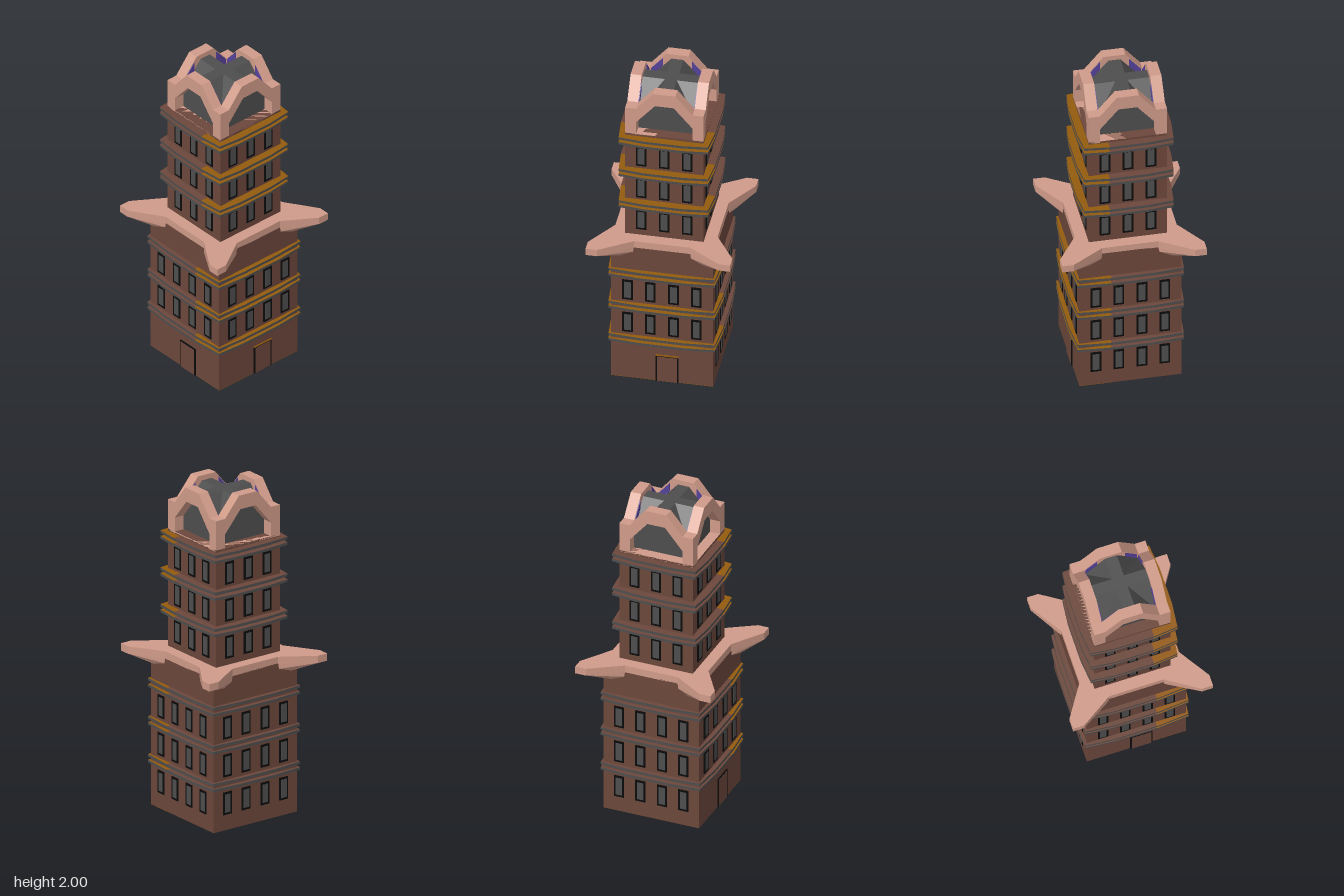
import * as THREE from 'three';
import { ConvexGeometry } from 'three/addons/geometries/ConvexGeometry.js';

function mat(name, color) {
  const m = new THREE.MeshStandardMaterial({ color });
  m.name = name;
  return m;
}

function poly(points) {
  return new THREE.Shape(points.map(([x, y]) => new THREE.Vector2(x, y)));
}

// Flat outline (x, z) raised between two heights
function slab(points, y0, y1) {
  const g = new THREE.ExtrudeGeometry(poly(points.map(([x, z]) => [x, -z])), { depth: y1 - y0, bevelEnabled: false });
  return g.rotateX(-Math.PI / 2).translate(0, y0, 0);
}

export function createModel() {
  const model = new THREE.Group();
  model.name = 'tower';
  const brown = mat('brown brick', 0x6c473b);
  const pink = mat('pink stone', 0xd09b89);
  const grey = mat('grey slate', 0x4e4e4e);
  const black = mat('black frame', 0x0b0b0b);
  const amber = mat('amber', 0x935a0c);
  const purple = mat('purple', 0x55419a);

  function add(parent, name, geometry, material) {
    const mesh = new THREE.Mesh(geometry, material);
    mesh.name = name;
    parent.add(mesh);
    return mesh;
  }
  function box(parent, name, material, w, h, d, x, y, z) {
    return add(parent, name, new THREE.BoxGeometry(w, h, d).translate(x, y, z), material);
  }

  // Two stacked shafts and the two-tone base plate
  const split = 0.115;
  box(model, 'lowerShaft', brown, 0.6, 0.938, 0.6, 0, 0.471, 0);
  box(model, 'upperShaft', brown, 0.46, 0.74, 0.46, 0, 1.33, 0);
  box(model, 'basePlate', brown, 0.3 + split, 0.002, 0.6, (split - 0.3) / 2, 0.001, 0);
  box(model, 'basePlateAmber', amber, 0.3 - split, 0.002, 0.6, (split + 0.3) / 2, 0.001, 0);

  // Paired ledges with slightly bowed sides, in two colours
  function ledge(half, y) {
    const c = half - 0.015, m = half * 0.42, s = split;
    const left = [[s, half], [-m, half], [-c, c], [-half, m], [-half, -m], [-c, -c], [-m, -half], [s, -half]];
    const right = [[s, -half], [m, -half], [c, -c], [half, -m], [half, m], [c, c], [m, half], [s, half]];
    // reversed so that the outlines wind consistently
    add(model, 'ledge', slab(left, y - 0.008, y + 0.008), [brown, grey]);
    add(model, 'ledgeAmber', slab(right, y - 0.008, y + 0.008), [amber, grey]);
  }
  for (const y of [0.265, 0.3, 0.497, 0.533, 0.73, 0.768]) ledge(0.327, y);
  for (const y of [1.192, 1.225, 1.415, 1.45, 1.643, 1.678]) ledge(0.277, y);
  box(model, 'amberStrip', amber, 0.46, 0.022, 0.004, 0, 1.432, 0.231);

  // Windows and doors on each face
  function windowUnit(face, x, y, z) {
    box(face, 'windowFrame', black, 0.062, 0.138, 0.006, x, y, z + 0.002);
    box(face, 'windowPane', grey, 0.04, 0.112, 0.008, x, y, z + 0.0025);
  }
  for (let k = 0; k < 4; k++) {
    const face = new THREE.Group();
    face.name = 'face';
    face.rotation.y = k * Math.PI / 2;
    model.add(face);
    const rows = k < 2 ? [0.397, 0.629] : [0.165, 0.397, 0.629];
    for (const y of rows) for (const x of [-0.202, -0.068, 0.068, 0.202]) windowUnit(face, x, y, 0.3);
    for (const y of [1.09, 1.318, 1.545]) for (const x of [-0.135, 0, 0.135]) windowUnit(face, x, y, 0.23);
    if (k < 2) {
      box(face, 'doorFrame', black, 0.134, 0.184, 0.008, 0.03, 0.092, 0.302);
      box(face, 'door', brown, 0.116, 0.174, 0.008, 0.03, 0.089, 0.3035);
      if (k === 1) box(face, 'doorLintel', amber, 0.134, 0.006, 0.009, 0.03, 0.184, 0.303);
    }

    // Crown arch
    const arch = poly([[-0.23, 1.69], [0.23, 1.69], [0.23, 1.88], [0.165, 1.88], [0.065, 2], [-0.065, 2], [-0.165, 1.88], [-0.23, 1.88]]);
    arch.holes.push(new THREE.Path([[-0.165, 1.7], [-0.165, 1.785], [-0.055, 1.915], [0.055, 1.915], [0.165, 1.785], [0.165, 1.7]]
      .map(([x, y]) => new THREE.Vector2(x, y))));
    add(face, 'crownArch', new THREE.ExtrudeGeometry(arch, { depth: 0.065, bevelEnabled: false }).translate(0, 0, 0.165), pink);

    // Coloured strips on the inner side of the arch
    for (const s of [-1, 1]) {
      const strip = poly([[0.155, 1.832], [0.155, 1.885], [0.085, 1.968], [0.085, 1.915]].map(([x, y]) => [s * x, y]));
      add(face, 'archInnerStrip', new THREE.ExtrudeGeometry(strip, { depth: 0.004, bevelEnabled: false }).translate(0, 0, 0.161), purple);
    }
  }

  // Crossing roof vaults
  for (let k = 0; k < 2; k++) {
    const vault = poly([[-0.165, 1.695], [0.165, 1.695], [0.165, 1.82], [0.035, 1.97], [-0.035, 1.97], [-0.165, 1.82]]);
    const g = new THREE.ExtrudeGeometry(vault, { depth: 0.332, bevelEnabled: false }).translate(0, 0, -0.166);
    add(model, 'roofVault', g.rotateY(k * Math.PI / 2), grey);
  }

  // Deck with four pointed corners
  const outline = [];
  for (let k = 0; k < 4; k++) {
    const c = Math.round(Math.cos(k * Math.PI / 2)), s = Math.round(Math.sin(k * Math.PI / 2));
    for (const [x, z] of [[0.3, 0.165], [0.424, 0.357], [0.424, 0.424], [0.357, 0.424], [0.165, 0.3]]) {
      outline.push([x * c - z * s, x * s + z * c]);
    }
  }
  add(model, 'deck', slab(outline, 0.935, 0.98), pink);

  // Tapered brackets under the deck corners
  const bracket = [
    [0.3, 0.936, 0.165], [0.424, 0.936, 0.357], [0.424, 0.936, 0.424], [0.357, 0.936, 0.424], [0.165, 0.936, 0.3],
    [0.17, 0.905, 0.302], [0.302, 0.905, 0.17], [0.24, 0.886, 0.325], [0.325, 0.886, 0.24], [0.2, 0.9, 0.2],
  ].map(p => new THREE.Vector3(...p));
  for (let k = 0; k < 4; k++) {
    add(model, 'deckBracket', new ConvexGeometry(bracket).rotateY(k * Math.PI / 2), pink);
  }
  return model;
}
